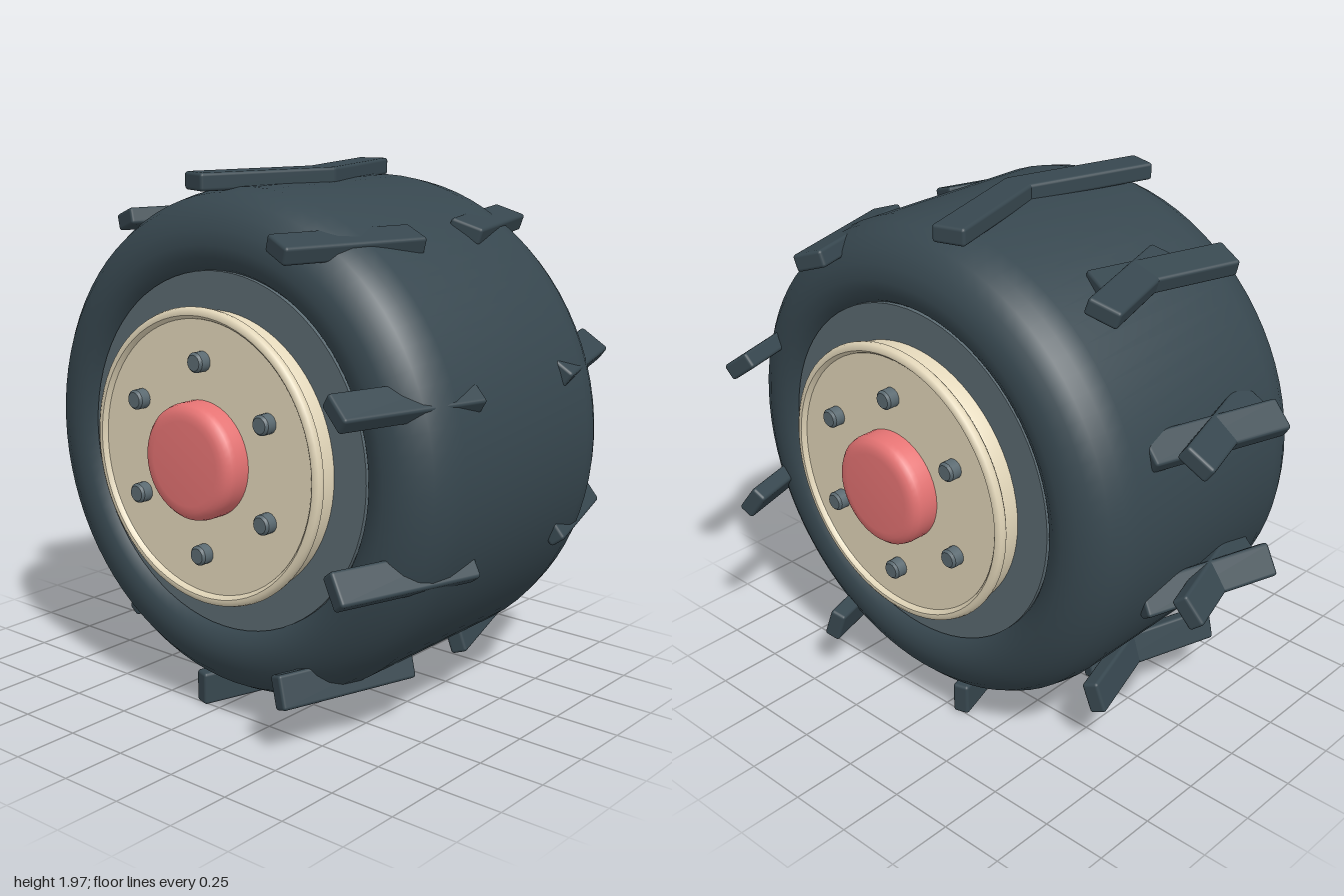
import * as THREE from 'three';
import { RoundedBoxGeometry } from 'three/addons/geometries/RoundedBoxGeometry.js';
import { toCreasedNormals } from 'three/addons/utils/BufferGeometryUtils.js';

const flat = (name, color) => {
  const m = new THREE.MeshStandardMaterial({ color });
  m.name = name;
  return m;
};

// Turned part whose axis is x; profile points are [distance along x, radius]
function turned(profile, segments = 72, crease = 0.6) {
  const pts = profile.map(([x, r]) => new THREE.Vector2(r, x));
  const g = new THREE.LatheGeometry(pts, segments);
  return toCreasedNormals(g.rotateZ(-Math.PI / 2), crease);
}

export function createModel() {
  const rubber = flat('rubber', 0x37474f);
  const steel = flat('steel', 0x5b6a71);
  const cream = flat('cream', 0xe2d6b9);
  const red = flat('red', 0xe57373);

  const model = new THREE.Group();
  model.name = 'wheel';
  const add = (parent, name, geometry, material) => {
    const m = new THREE.Mesh(geometry, material);
    m.name = name;
    parent.add(m);
    return m;
  };

  const body = new THREE.Group();
  body.name = 'wheelBody';
  body.position.set(0, 1.012, 0.08);
  model.add(body);

  // Tyre: flat tread with round shoulders and sidewalls curling inward
  const half = [[0.38, 0.92], [0.45, 0.906], [0.5, 0.88], [0.54, 0.84], [0.568, 0.79],
    [0.58, 0.735], [0.572, 0.69], [0.55, 0.655], [0.51, 0.63], [0.46, 0.62]];
  const tyreProfile = [...half.map(([x, r]) => [-x, r]).reverse(), ...half];
  add(body, 'tyre', turned(tyreProfile, 80, 1.2), rubber);

  // Steel rim drum inside the tyre
  add(body, 'rim', turned([[-0.55, 0], [-0.55, 0.645], [0.55, 0.645], [0.55, 0]]), steel);

  // Hub faces on both sides
  const plate = turned([[0.5, 0.51], [0.6, 0.51], [0.613, 0.505], [0.616, 0.52], [0.626, 0.529],
    [0.638, 0.531], [0.65, 0.527], [0.658, 0.515], [0.657, 0.503], [0.648, 0.494],
    [0.64, 0.49], [0.64, 0]], 72, 0.7);
  const cap = turned([[0.6, 0.208], [0.695, 0.208], [0.715, 0.203], [0.73, 0.19],
    [0.738, 0.172], [0.74, 0.15], [0.74, 0]], 48, 0.7);
  const bolt = turned([[0.6, 0.036], [0.678, 0.036], [0.687, 0.028], [0.687, 0]], 16);
  for (const side of [1, -1]) {
    const hub = new THREE.Group();
    hub.name = side > 0 ? 'leftHub' : 'rightHub';
    hub.rotation.y = side > 0 ? 0 : Math.PI;
    body.add(hub);
    add(hub, 'hubPlate', plate, cream);
    add(hub, 'hubCap', cap, red);
    for (let i = 0; i < 6; i++) {
      const a = (i * Math.PI) / 3;
      add(hub, 'bolt', bolt, steel).position.set(0, 0.345 * Math.cos(a), 0.345 * Math.sin(a));
    }
  }

  // Tread bars: two yawed rings of ten, each bar turning half as fast as the ring
  const bar = new RoundedBoxGeometry(0.558, 0.064, 0.124, 2, 0.012);
  for (const side of [1, -1]) {
    const ring = new THREE.Group();
    ring.name = side > 0 ? 'leftTread' : 'rightTread';
    ring.position.set(side * 0.243, 1.01, 0);
    ring.rotation.y = side * 0.305;
    model.add(ring);
    for (let i = 0; i < 10; i++) {
      const a = (i * Math.PI) / 5;
      const b = add(ring, 'treadBar', bar, rubber);
      b.position.set(0, 0.94 * Math.cos(a), 0.94 * Math.sin(a));
      b.rotation.x = a / 2;
    }
  }
  return model;
}
